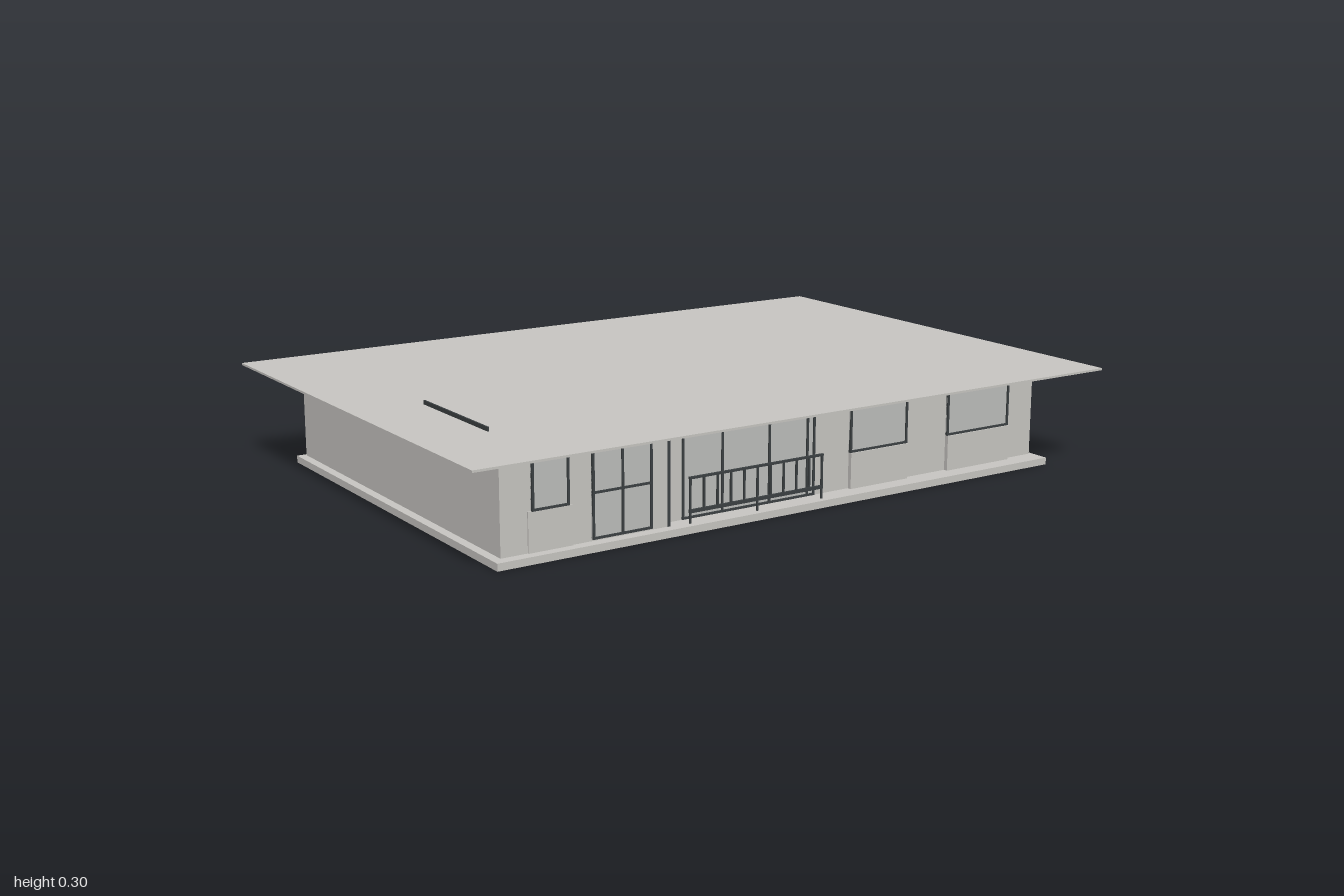
import * as THREE from 'three';

const flat = (name, color) => Object.assign(new THREE.MeshStandardMaterial({ color }), { name });

export function createModel() {
  const house = new THREE.Group();
  house.name = 'house';
  const plaster = flat('plaster', 0xcac8c4);
  const glass = flat('glass', 0xbfc0bd);
  const frame = flat('dark frame', 0x3c4143);
  const doorPaint = flat('door slate', 0x5a626a);

  // box given by its minimum and maximum corners
  function box(name, mat, x0, x1, y0, y1, z0, z1, parent = house) {
    const m = new THREE.Mesh(new THREE.BoxGeometry(x1 - x0, y1 - y0, z1 - z0), mat);
    m.position.set((x0 + x1) / 2, (y0 + y1) / 2, (z0 + z1) / 2);
    m.name = name;
    parent.add(m);
    return m;
  }
  // upright prism from a floor plan of [x, z] corners
  function prism(name, plan, y0, y1) {
    const shape = new THREE.Shape(plan.map(([x, z]) => new THREE.Vector2(x, -z)));
    const geo = new THREE.ExtrudeGeometry(shape, { depth: y1 - y0, bevelEnabled: false });
    geo.rotateX(-Math.PI / 2).translate(0, y0, 0);
    const m = new THREE.Mesh(geo, plaster);
    m.name = name;
    house.add(m);
  }
  // framed opening on a wall at z, facing +z (dir 1) or -z (dir -1)
  function opening(name, x0, x1, y0, y1, z, dir, uprights = [], rails = [], pane = glass) {
    const g = new THREE.Group();
    g.name = name;
    house.add(g);
    const t = 0.006;
    const slab = (n, mat, a, b, c, d, depth) =>
      box(n, mat, a, b, c, d, Math.min(z, z + dir * depth), Math.max(z, z + dir * depth), g);
    slab('pane', pane, x0, x1, y0, y1, 0.004);
    for (const x of [x0 + t / 2, ...uprights, x1 - t / 2]) slab('upright', frame, x - t / 2, x + t / 2, y0, y1, 0.008);
    for (const y of [y0 + t / 2, ...rails, y1 - t / 2]) slab('crossbar', frame, x0, x1, y - t / 2, y + t / 2, 0.008);
  }

  // base slab, stepped at the back
  prism('baseSlab', [[-0.88, 0.59], [0.91, 0.59], [0.91, -0.36], [0.29, -0.36], [0.29, -0.62], [-0.88, -0.62]], 0, 0.02);

  // walls with stepped front, rear porch and rear door recess
  prism('walls', [
    [-0.855, 0.56], [-0.37, 0.56], [-0.37, 0.53], [0.9, 0.53], [0.9, -0.35], [0.38, -0.35],
    [0.38, -0.39], [0.34, -0.39], [0.34, -0.525], [0.28, -0.525], [0.28, -0.22], [0.17, -0.22],
    [0.17, -0.525], [0.08, -0.525], [0.08, -0.61], [-0.31, -0.61], [-0.31, -0.51],
    [-0.42, -0.51], [-0.42, -0.61], [-0.855, -0.61],
  ], 0.02, 0.288);

  // flat roof and the thin ridge on it
  box('roof', plaster, -1, 1, 0.287, 0.293, -0.703, 0.703);
  box('roofRidge', frame, -0.798, -0.793, 0.293, 0.304, 0.05, 0.4);

  // front windows and doors
  opening('smallFrontWindow', -0.77, -0.665, 0.125, 0.265, 0.56, 1);
  opening('frenchDoor', -0.6, -0.425, 0.025, 0.268, 0.56, 1, [-0.512], [0.145]);
  opening('livingRoomWindow', -0.315, 0.11, 0.022, 0.278, 0.53, 1, [-0.19, -0.04, 0.085]);
  box('cornerStrip', frame, -0.376, -0.368, 0.02, 0.287, 0.53, 0.562);
  for (const [x0, x1] of [[0.23, 0.43], [0.575, 0.805]]) {
    opening('bedroomWindow', x0, x1, 0.12, 0.278, 0.53, 1, [], [0.262]);
    box('windowApron', plaster, x0, x1, 0.02, 0.12, 0.53, 0.542);
  }
  box('smallWindowApron', plaster, -0.78, -0.655, 0.02, 0.125, 0.56, 0.564);

  // balcony railing
  const railing = new THREE.Group();
  railing.name = 'railing';
  house.add(railing);
  for (const [y, h] of [[0.052, 0.009], [0.14, 0.006]])
    box('rail', frame, -0.315, 0.112, y - h / 2, y + h / 2, 0.565, 0.572, railing);
  for (let i = 0; i <= 10; i++) {
    const x = -0.312 + i * 0.0421;
    box('baluster', frame, x - 0.0025, x + 0.0025, i % 5 ? 0.05 : 0.02, 0.14, 0.566, 0.571, railing);
  }

  // back windows and doors
  opening('backWindow', -0.24, -0.085, 0.15, 0.23, -0.61, -1, [-0.163]);
  opening('backWindow', -0.755, -0.645, 0.15, 0.225, -0.61, -1, [-0.7]);
  opening('backDoor', 0.5, 0.637, 0.022, 0.276, -0.35, -1, [], [], doorPaint);
  opening('porchDoor', 0.18, 0.27, 0.022, 0.26, -0.22, -1, [], [0.14]);
  opening('recessedDoor', -0.405, -0.325, 0.022, 0.26, -0.51, -1, [], [0.14]);

  return house;
}
